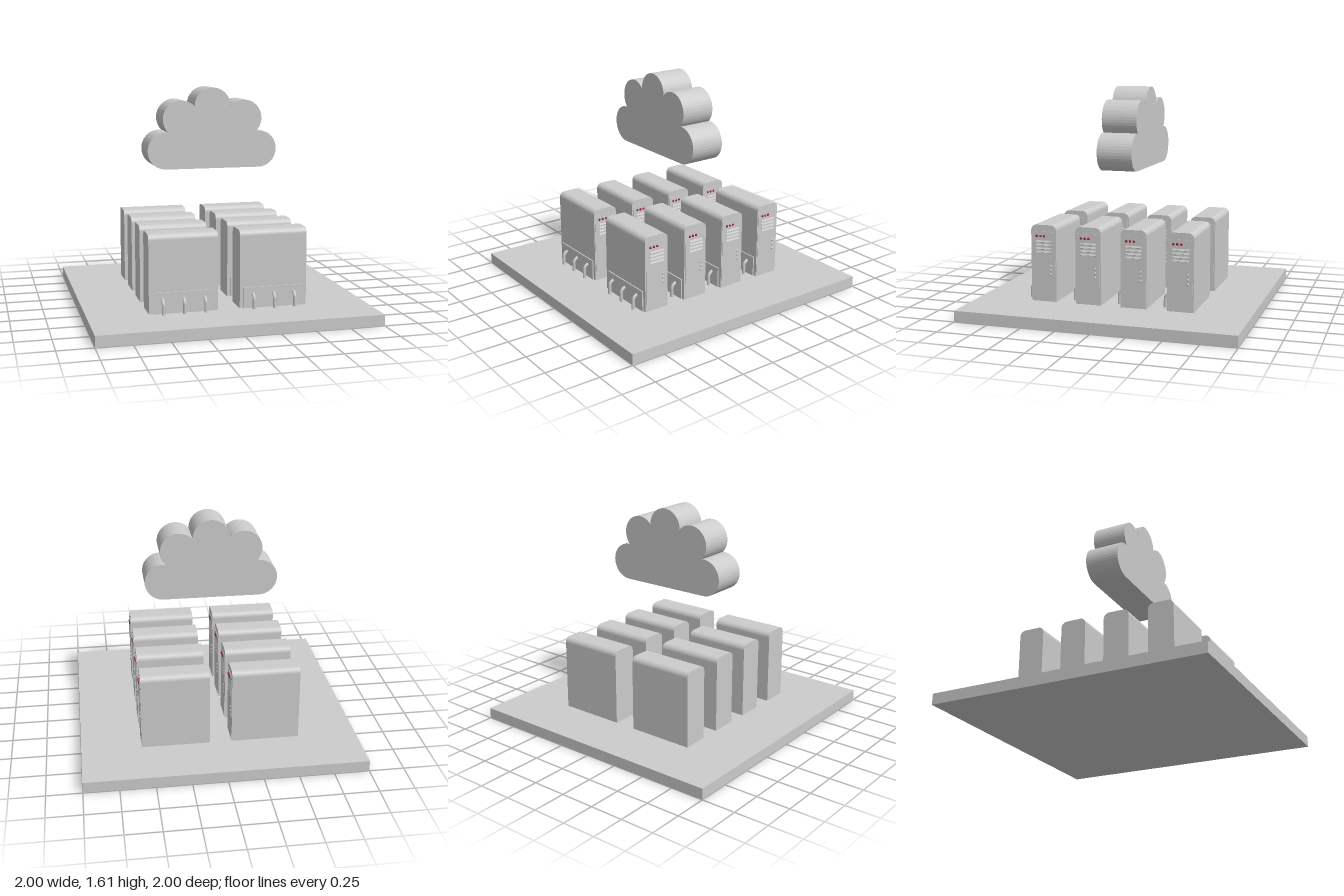
import * as THREE from 'three';

const grey = new THREE.MeshStandardMaterial({ color: 0xcccccc });
const red = new THREE.MeshStandardMaterial({ color: 0xaa1122 });

const BASE = 0.08;              // top of the floor slab
const W = 0.49, H = 0.556, D = 0.19; // server cabinet

function add(parent, name, geometry, x = 0, y = 0, z = 0, material = grey) {
  const mesh = new THREE.Mesh(geometry, material);
  mesh.name = name;
  mesh.position.set(x, y, z);
  parent.add(mesh);
  return mesh;
}

// Cabinet: side profile with rounded top corners, extruded along x
function cabinetGeometry() {
  const r = 0.04, h = D / 2;
  const s = new THREE.Shape();
  s.moveTo(-h, 0);
  s.lineTo(h, 0);
  s.lineTo(h, H - r);
  s.absarc(h - r, H - r, r, 0, Math.PI / 2);
  s.lineTo(-h + r, H);
  s.absarc(-h + r, H - r, r, Math.PI / 2, Math.PI);
  s.closePath();
  const g = new THREE.ExtrudeGeometry(s, { depth: W, bevelEnabled: false, curveSegments: 6 });
  return g.translate(0, 0, -W / 2).rotateY(Math.PI / 2);
}

// Cable: leaves the front panel, bends over and drops to the floor
function cableGeometry() {
  const path = new THREE.CurvePath();
  const v = (y, z) => new THREE.Vector3(0, y, z);
  path.add(new THREE.LineCurve3(v(0, 0.133), v(0.065, 0.133)));
  path.add(new THREE.QuadraticBezierCurve3(v(0.065, 0.133), v(0.095, 0.13), v(0.105, 0.09)));
  return new THREE.TubeGeometry(path, 14, 0.012, 8, false);
}

const shared = {
  cabinet: cabinetGeometry(),
  cable: cableGeometry(),
  sidePanel: new THREE.BoxGeometry(0.006, 0.5, 0.175),
  frontPanel: new THREE.BoxGeometry(W - 0.05, 0.15, 0.012),
  slat: new THREE.BoxGeometry(0.004, 0.023, 0.117),
  knob: new THREE.SphereGeometry(0.009, 12, 8),
};

function createServer() {
  const g = new THREE.Group();
  const face = W / 2 + 0.002;
  add(g, 'cabinet', shared.cabinet);
  add(g, 'sidePanel', shared.sidePanel, W / 2, 0.258, 0);
  add(g, 'frontPanel', shared.frontPanel, 0, 0.075, D / 2 + 0.003);
  // Tilted ventilation slats
  for (let i = 0; i < 4; i++) {
    add(g, 'ventSlat', shared.slat, face, 0.366 + i * 0.0255, -0.003).rotation.z = 0.5;
  }
  for (let i = 0; i < 3; i++) {
    add(g, 'statusLight', shared.knob, face, 0.476, 0.051 - i * 0.028, red);
    add(g, 'button', shared.knob, face, 0.198 + i * 0.032, -0.053);
    add(g, 'cable', shared.cable, (i - 1) * 0.15, 0, 0);
  }
  return g;
}

// Cloud: equal round lobes joined where neighbouring circles cross
function cloudGeometry() {
  const r = 0.135, y0 = 1.152;
  const lobes = [[0.348, y0], [0.235, 1.38], [0, 1.47], [-0.235, 1.38], [-0.348, y0]]
    .map(([x, y]) => new THREE.Vector2(x, y));
  const crossing = (a, b) => {
    const d = b.clone().sub(a);
    const h = Math.sqrt(r * r - d.lengthSq() / 4);
    const out = new THREE.Vector2(d.y, -d.x).setLength(h);
    return a.clone().add(b).multiplyScalar(0.5).add(out);
  };
  const s = new THREE.Shape();
  lobes.forEach((c, i) => {
    const angleTo = (p) => Math.atan2(p.y - c.y, p.x - c.x);
    const start = i === 0 ? -Math.PI / 2 : angleTo(crossing(lobes[i - 1], c));
    let end = i === lobes.length - 1 ? Math.PI * 1.5 : angleTo(crossing(c, lobes[i + 1]));
    if (end < start) end += Math.PI * 2;
    s.absarc(c.x, c.y, r, start, end, false);
  });
  s.closePath();
  const depth = 0.256;
  return new THREE.ExtrudeGeometry(s, { depth, bevelEnabled: false, curveSegments: 10 })
    .translate(0, 0, -depth / 2);
}

export function createModel() {
  const model = new THREE.Group();
  model.name = 'cloudServerRoom';
  add(model, 'floorSlab', new THREE.BoxGeometry(2, BASE, 2), 0, BASE / 2, 0);
  add(model, 'cloud', cloudGeometry());

  // Two columns of four servers
  for (const x of [-0.328, 0.321]) {
    for (const z of [-0.507, -0.168, 0.167, 0.503]) {
      const server = createServer();
      server.name = 'server';
      server.position.set(x, BASE, z);
      model.add(server);
    }
  }
  return model;
}
